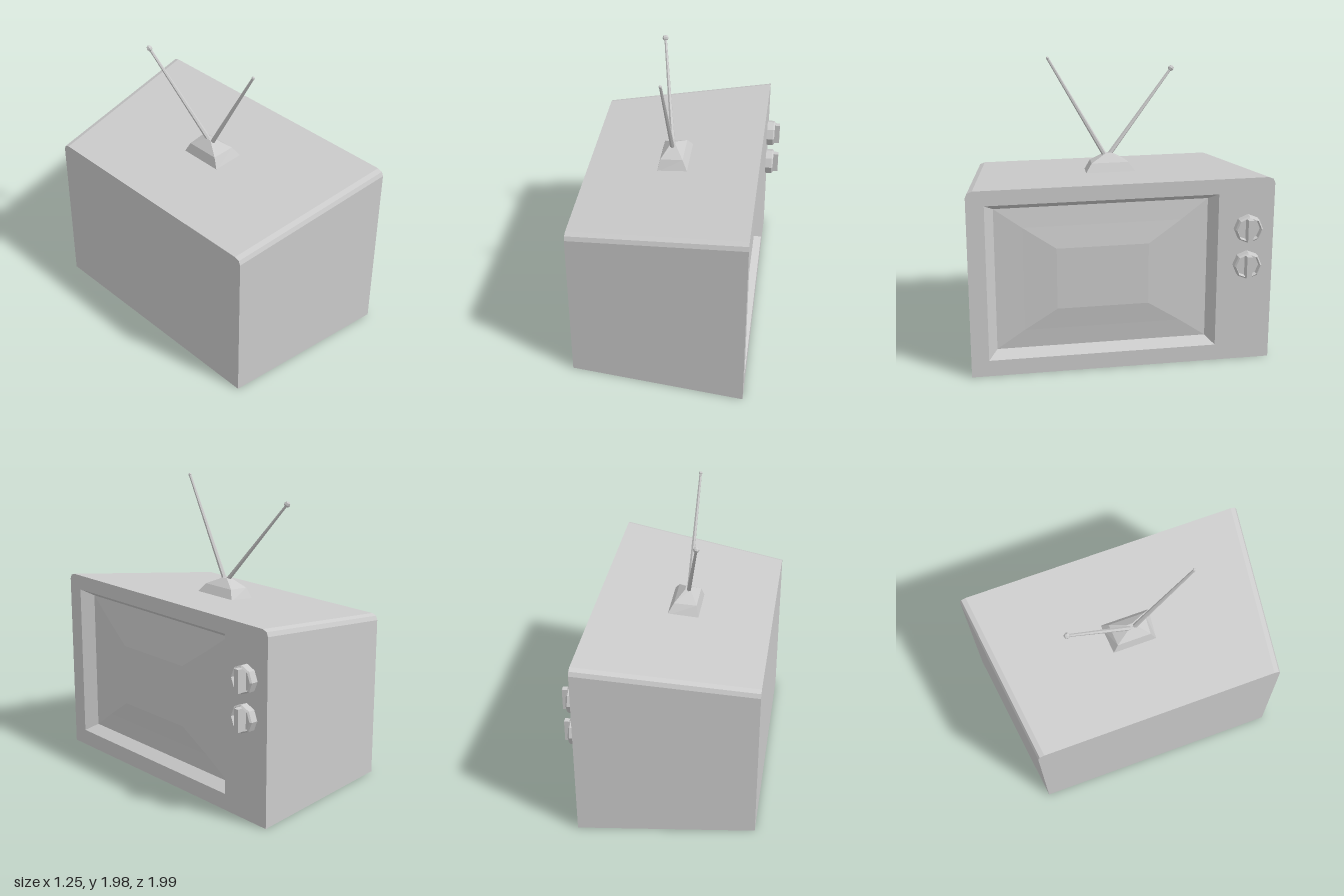
import * as THREE from 'three';

const material = new THREE.MeshStandardMaterial({ color: 0xcccccc, flatShading: true });

function add(parent, name, geometry) {
  const mesh = new THREE.Mesh(geometry, material);
  mesh.name = name;
  parent.add(mesh);
  return mesh;
}

// Skin over rings of [x, y, z] points; optional fan caps on the first and last ring.
function loft(rings, capStart = false, capEnd = false) {
  const pos = [];
  const tri = (a, b, c) => pos.push(...a, ...b, ...c);
  for (let r = 0; r + 1 < rings.length; r++) {
    const a = rings[r], b = rings[r + 1];
    for (let i = 0; i < a.length; i++) {
      const j = (i + 1) % a.length;
      tri(a[i], a[j], b[j]);
      tri(a[i], b[j], b[i]);
    }
  }
  const first = rings[0], last = rings[rings.length - 1];
  for (let i = 1; i + 1 < first.length; i++) {
    if (capStart) tri(first[0], first[i + 1], first[i]);
    if (capEnd) tri(last[0], last[i], last[i + 1]);
  }
  const geometry = new THREE.BufferGeometry();
  geometry.setAttribute('position', new THREE.Float32BufferAttribute(pos, 3));
  geometry.computeVertexNormals();
  return geometry;
}

// Cabinet outline seen from the screen side: u runs to the right (-z), v is up.
function outline(half, height) {
  return [
    [-half, 0], [half, 0],
    [half, height - 0.04], [half - 0.012, height - 0.012], [half - 0.045, height],
    [-half + 0.045, height], [-half + 0.012, height - 0.012], [-half, height - 0.04],
  ];
}

const rect = (u0, u1, v0, v1) => [[u0, v0], [u1, v0], [u1, v1], [u0, v1]];
const at = (x, points) => points.map(([u, v]) => [x, v, -u]);
const toVectors = (points) => points.map(([u, v]) => new THREE.Vector2(u, v));

function addKnob(parent, y) {
  const knob = new THREE.Group();
  knob.name = 'knob';
  // eight-sided dish with a raised rim
  const profile = [[0.092, 0], [0.092, 0.045], [0.082, 0.055], [0.076, 0.025], [0, 0.025]];
  const dish = new THREE.LatheGeometry(toVectors(profile), 8);
  dish.rotateZ(-Math.PI / 2);
  add(knob, 'knobDish', dish);
  // finger grip
  const grip = new THREE.BoxGeometry(0.07, 0.15, 0.036);
  add(knob, 'knobGrip', grip).position.x = 0.055;
  knob.position.set(0.53, y, -0.82);
  parent.add(knob);
}

function addAntenna(parent, start, end, tipRadius) {
  const a = new THREE.Vector3(...start), b = new THREE.Vector3(...end);
  const dir = b.clone().sub(a);
  const rod = add(parent, 'antennaRod', new THREE.CylinderGeometry(0.009, 0.016, dir.length(), 6));
  rod.position.copy(a).add(b).multiplyScalar(0.5);
  rod.quaternion.setFromUnitVectors(new THREE.Vector3(0, 1, 0), dir.normalize());
  const tip = add(parent, 'antennaTip', new THREE.SphereGeometry(tipRadius, 6, 4));
  tip.position.copy(b);
  tip.quaternion.copy(rod.quaternion);
}

export function createModel() {
  const model = new THREE.Group();
  model.name = 'television';

  // tapered cabinet shell, closed at the back
  const front = outline(0.995, 1.265);
  const back = outline(0.85, 1.12);
  add(model, 'cabinet', loft([at(-0.63, back), at(0.53, front)], true));

  // front frame with the screen opening
  const opening = rect(-0.88, 0.625, 0.11, 1.165);
  const frame = new THREE.Shape(toVectors(front));
  frame.holes.push(new THREE.Path(toVectors(opening)));
  const frameGeometry = new THREE.ShapeGeometry(frame);
  frameGeometry.rotateY(Math.PI / 2);
  add(model, 'frontFrame', frameGeometry).position.x = 0.53;

  // bevelled recess and bulging glass
  const edge = rect(-0.82, 0.57, 0.155, 1.12);
  add(model, 'screenRecess', loft([at(0.53, opening), at(0.455, edge)]));
  add(model, 'screenGlass', loft([
    at(0.455, edge),
    at(0.472, rect(-0.64, 0.39, 0.285, 0.99)),
    at(0.495, rect(-0.425, 0.175, 0.43, 0.845)),
  ], false, true));

  // tuning knobs
  for (const y of [0.93, 0.68]) addKnob(model, y);

  // stepped antenna foot sitting on the sloping top
  const footRing = (x0, x1, y0, y1, z0, z1) =>
    [[x0, y0, z0], [x0, y0, -z0].map((v, i) => (i === 2 ? -z0 : v)), [x1, y1, -z1], [x1, y1, z1]].reverse();
  add(model, 'antennaFoot', loft([
    footRing(-0.15, 0.06, 1.17, 1.196, 0.155, 0.175),
    footRing(-0.13, 0.02, 1.25, 1.262, 0.115, 0.125),
    footRing(-0.075, -0.04, 1.312, 1.312, 0.02, 0.02),
  ], true, true));

  // two spread rods
  addAntenna(model, [-0.06, 1.29, 0.02], [-0.08, 1.965, 0.4], 0.012);
  addAntenna(model, [-0.06, 1.29, 0.0], [-0.17, 1.855, -0.45], 0.021);

  return model;
}
